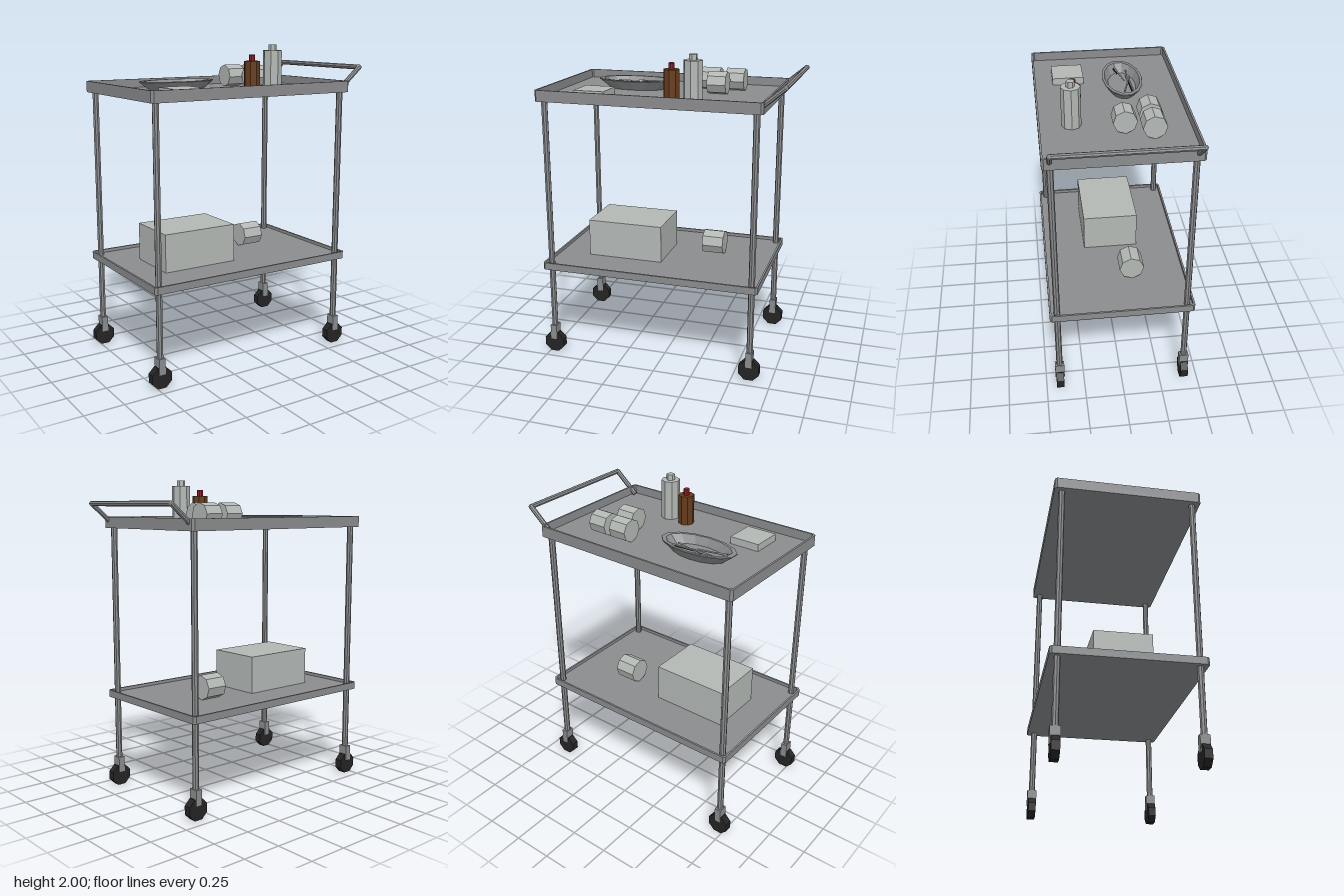
import * as THREE from 'three';

const mat = (name, color) => {
  const m = new THREE.MeshStandardMaterial({ color, flatShading: true });
  m.name = name;
  return m;
};

export function createModel() {
  const steel = mat('grey steel', 0x8b8c8e);
  const pale = mat('pale grey', 0xb3b8b5);
  const black = mat('black rubber', 0x242424);
  const brown = mat('brown glass', 0x663c1c);
  const red = mat('dark red cap', 0x8a1f26);

  const cart = new THREE.Group();
  cart.name = 'serviceCart';

  const add = (name, geo, material, x = 0, y = 0, z = 0, parent = cart) => {
    const mesh = new THREE.Mesh(geo, material);
    mesh.name = name;
    mesh.position.set(x, y, z);
    parent.add(mesh);
    return mesh;
  };

  // Straight bar between two points
  const bar = (name, a, b, r, material, sides = 8) => {
    const dir = b.clone().sub(a);
    const mesh = add(name, new THREE.CylinderGeometry(r, r, dir.length(), sides), material);
    mesh.position.copy(a).add(b).multiplyScalar(0.5);
    mesh.quaternion.setFromUnitVectors(new THREE.Vector3(0, 1, 0), dir.normalize());
    return mesh;
  };

  // Rectangle with clipped corners
  const outline = (hx, hz, c, Type) => {
    const p = [[hx - c, -hz], [hx, c - hz], [hx, hz - c], [hx - c, hz],
      [c - hx, hz], [-hx, hz - c], [-hx, c - hz], [c - hx, -hz]];
    return new Type(p.map(([x, y]) => new THREE.Vector2(x, y)));
  };

  // Trays: a floor plate with a thin raised rim
  const midX = -0.057, halfX = 0.708, halfZ = 0.457;
  const tray = (name, bottom, floor, top) => {
    const g = new THREE.Group();
    g.name = name;
    cart.add(g);
    const rim = outline(halfX, halfZ, 0.014, THREE.Shape);
    rim.holes.push(outline(halfX - 0.012, halfZ - 0.012, 0.01, THREE.Path));
    const plate = outline(halfX - 0.006, halfZ - 0.006, 0.012, THREE.Shape);
    for (const [part, shape, h] of [['Rim', rim, top - bottom], ['Floor', plate, floor - bottom]]) {
      const geo = new THREE.ExtrudeGeometry(shape, { depth: h, bevelEnabled: false }).rotateX(-Math.PI / 2);
      add(name + part, geo, steel, midX, bottom, 0, g);
    }
  };
  const topFloor = 1.715, lowFloor = 0.622;
  tray('topTray', 1.7, topFloor, 1.77);
  tray('lowerTray', 0.597, lowFloor, 0.643);

  // Legs and casters
  const wheelGeo = new THREE.CylinderGeometry(0.071, 0.071, 0.048, 8).rotateY(Math.PI / 8).rotateX(Math.PI / 2);
  for (const x of [-0.72, 0.607]) {
    for (const z of [-0.41, 0.41]) {
      add('leg', new THREE.CylinderGeometry(0.02, 0.02, 1.53, 8), steel, x, 0.935, z);
      add('casterFork', new THREE.BoxGeometry(0.042, 0.1, 0.06), steel, x, 0.14, z);
      add('wheel', wheelGeo, black, x, 0.067, z);
    }
  }

  // Push handle rising from the +x end of the top tray
  const knee = (z) => new THREE.Vector3(0.765, 1.852, z);
  for (const z of [-0.412, 0.412]) {
    bar('handleArm', new THREE.Vector3(0.612, 1.722, z), knee(z), 0.016, steel);
    add('handleCorner', new THREE.IcosahedronGeometry(0.0165, 1), steel, 0.765, 1.852, z);
  }
  bar('handleGrip', knee(-0.412), knee(0.412), 0.016, steel);

  // Bottles
  const bottle = (name, x, z, r, shoulder, neckR, top, neckSides, bodyMat, neckMat) => {
    add(name + 'Body', new THREE.CylinderGeometry(r, r, shoulder - topFloor, 8), bodyMat, x, (shoulder + topFloor) / 2, z);
    add(name + 'Cap', new THREE.CylinderGeometry(neckR, neckR, top - shoulder, neckSides), neckMat, x, (top + shoulder) / 2, z);
  };
  bottle('paleBottle', 0.185, 0.257, 0.059, 1.965, 0.026, 2.0, 6, pale, pale);
  bottle('brownBottle', 0.045, 0.237, 0.05, 1.902, 0.02, 1.94, 8, brown, red);

  // Rolls lying on their sides
  const roll = (x, floor, z, r, len) => add('roll',
    new THREE.CylinderGeometry(r, r, len, 8).rotateZ(Math.PI / 2).rotateX(0.08), pale, x, floor + r, z);
  roll(0.185, topFloor, -0.207, 0.072, 0.12);
  roll(0.345, topFloor, -0.207, 0.072, 0.12);
  roll(0.265, topFloor, -0.045, 0.072, 0.12);
  roll(0.245, lowFloor, -0.1, 0.08, 0.14);

  // Boxes
  add('smallBox', new THREE.BoxGeometry(0.196, 0.045, 0.198), pale, -0.457, topFloor + 0.0225, 0.236);
  add('largeBox', new THREE.BoxGeometry(0.5, 0.243, 0.36), pale, -0.298, lowFloor + 0.1215, 0);

  // Oval dish
  const profile = [[0, 0], [0.7, 0], [1, 0.058], [0.99, 0.062], [0.87, 0.062], [0.68, 0.012], [0, 0.012]]
    .map(([r, y]) => new THREE.Vector2(r, y));
  const dish = new THREE.LatheGeometry(profile, 14).scale(0.26, 1, 0.128);
  add('ovalDish', dish, steel, -0.296, topFloor, -0.104);

  // Instruments lying in the dish: [name, x0, z0, x1, z1, y, material]
  const tools = [
    ['probe', -0.495, -0.078, -0.3, -0.118, 1.752, pale],
    ['probeEdge', -0.49, -0.07, -0.41, -0.088, 1.75, black],
    ['blade', -0.44, -0.147, -0.27, -0.138, 1.755, pale],
    ['bladeHandle', -0.37, -0.138, -0.15, -0.15, 1.75, black],
    ['tweezerArm', -0.35, -0.16, -0.15, -0.103, 1.748, pale],
    ['tweezerArm', -0.3, -0.15, -0.12, -0.158, 1.758, pale],
  ];
  for (const [name, x0, z0, x1, z1, y, m] of tools) {
    bar(name, new THREE.Vector3(x0, y, z0), new THREE.Vector3(x1, y, z1), 0.0055, m, 5);
  }

  return cart;
}
